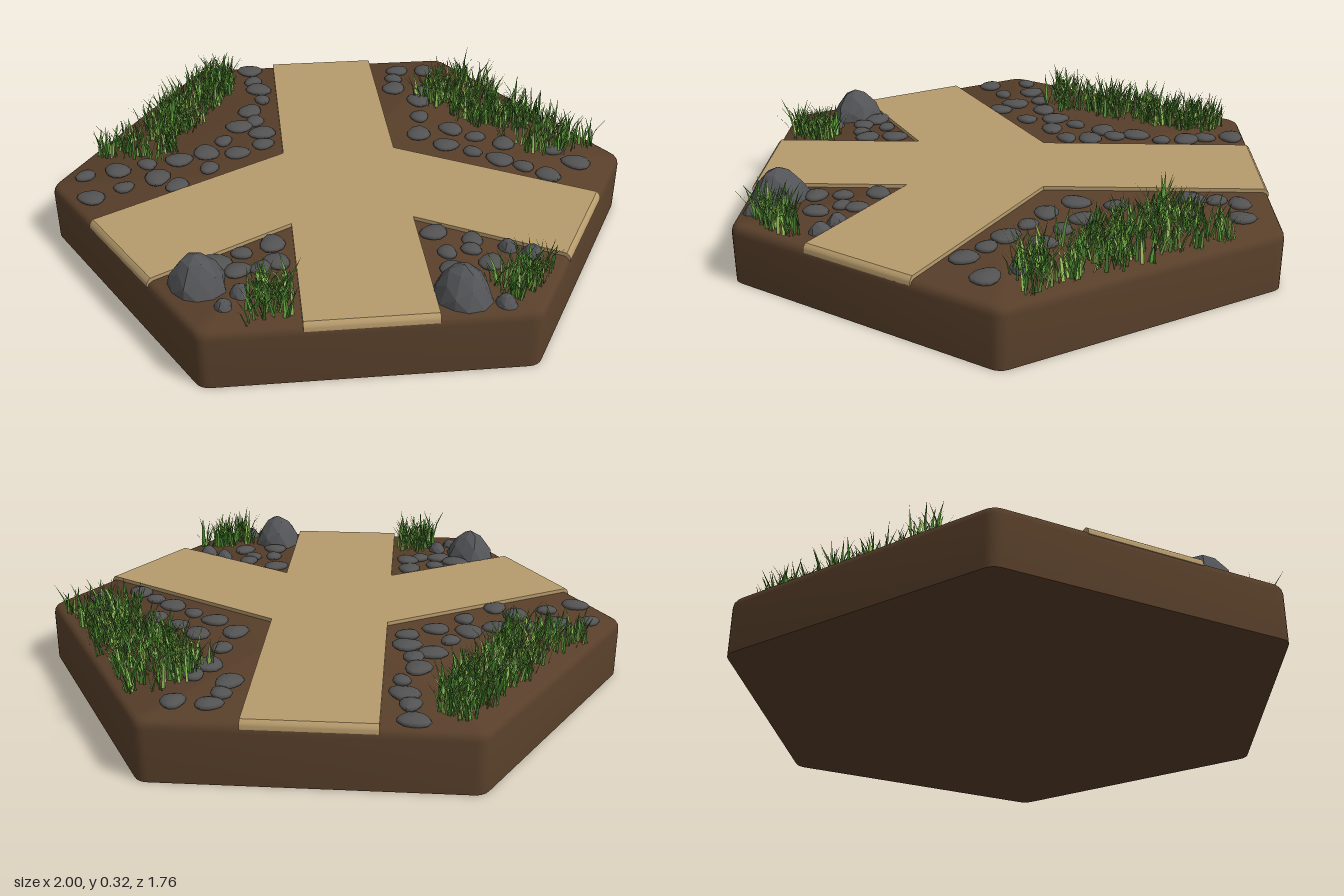
import * as THREE from 'three';
import { mergeGeometries, toCreasedNormals } from 'three/addons/utils/BufferGeometryUtils.js';

const mat = (name, color, side = THREE.FrontSide) => {
  const m = new THREE.MeshStandardMaterial({ color, side });
  m.name = name;
  return m;
};
const soil = mat('soil brown', 0x583f2a);
const sand = mat('sand path', 0xb79b6c);
const pebbleGrey = mat('pebble grey', 0x535354);
const rockGrey = mat('rock grey', 0x535457);
rockGrey.flatShading = true;
const greens = [
  mat('dark grass', 0x437a2c, THREE.DoubleSide),
  mat('mid grass', 0x62a03e, THREE.DoubleSide),
  mat('light grass', 0x94bd58, THREE.DoubleSide),
];

let seed = 7;
const rnd = () => (seed = (seed * 16807) % 2147483647) / 2147483647;
const range = (a, b) => a + (b - a) * rnd();
const RAD = Math.PI / 180;
const TOP = 0.2;
const APOTHEM = 0.8725;

function mesh(name, geometry, material) {
  const m = new THREE.Mesh(geometry, material);
  m.name = name;
  return m;
}

// Hexagonal slab: rounded-corner rings lofted upwards, with a soft top edge
function makeBase() {
  const R = 1.0075, cut = 0.03, ring = [];
  const corner = i => new THREE.Vector2(R * Math.cos(i * 60 * RAD), R * Math.sin(i * 60 * RAD));
  for (let i = 0; i < 6; i++) {
    const c = corner(i);
    const a = c.clone().lerp(corner(i + 5), cut), b = c.clone().lerp(corner(i + 1), cut);
    ring.push(...new THREE.QuadraticBezierCurve(a, c, b).getPoints(4));
  }
  const levels = [[0, 1], [0.17, 1], [0.184, 0.997], [0.194, 0.99], [TOP, 0.978]];
  const at = (l, i) => {
    const p = ring[i % ring.length], [y, s] = levels[l];
    return [p.x * s, y, p.y * s];
  };
  const pos = [], last = levels.length - 1;
  for (let i = 0; i < ring.length; i++) {
    for (let l = 0; l < last; l++) {
      const a = at(l, i), b = at(l, i + 1), A = at(l + 1, i), B = at(l + 1, i + 1);
      pos.push(...a, ...A, ...b, ...b, ...A, ...B);
    }
    pos.push(0, TOP, 0, ...at(last, i + 1), ...at(last, i));
    pos.push(0, 0, 0, ...at(0, i), ...at(0, i + 1));
  }
  const g = new THREE.BufferGeometry();
  g.setAttribute('position', new THREE.Float32BufferAttribute(pos, 3));
  return mesh('hexBase', toCreasedNormals(g, 0.6), soil);
}

// Four path arms joined in one outline, ends wrapping over the slab edge
function makePath() {
  const arms = [30, 90, 210, 330], half = 0.2, end = APOTHEM, pts = [];
  arms.forEach((deg, i) => {
    const c = Math.cos(deg * RAD), s = Math.sin(deg * RAD);
    for (const k of [-half, half]) pts.push(new THREE.Vector2(c * end - s * k, -(s * end + c * k)));
    const gap = (arms[(i + 1) % 4] - deg + 360) % 360;
    const mid = (deg + gap / 2) * RAD, r = half / Math.sin(gap / 2 * RAD);
    pts.push(new THREE.Vector2(r * Math.cos(mid), -r * Math.sin(mid)));
  });
  const g = new THREE.ExtrudeGeometry(new THREE.Shape(pts), { depth: 0.028, steps: 5, bevelEnabled: false });
  g.rotateX(-Math.PI / 2).translate(0, 0.185, 0);
  // round the outer ends over by pulling them inwards towards the top
  const p = g.attributes.position;
  for (let i = 0; i < p.count; i++) {
    const pull = 0.014 * ((p.getY(i) - 0.185) / 0.028) ** 3;
    for (const deg of arms) {
      const c = Math.cos(deg * RAD), s = Math.sin(deg * RAD);
      if (p.getX(i) * c + p.getZ(i) * s > 0.865) {
        p.setX(i, p.getX(i) - c * pull);
        p.setZ(i, p.getZ(i) - s * pull);
      }
    }
  }
  return mesh('sandPath', toCreasedNormals(g, 0.5), sand);
}

// Rows of flat pebbles beside the path: start x, z, end x, z, count
const pebbleRows = [
  [-.51, -.64, -.39, -.54, 3], [-.25, -.54, -.04, -.38, 3], [.09, -.41, .46, -.56, 5], [-.44, -.73, -.3, -.62, 2],
  [0, -.5, .2, -.58, 3], [.45, -.69, .35, -.69, 2],
  [-.85, -.15, -.61, -.05, 4], [-.55, .03, -.31, .13, 4], [-.31, .25, -.24, .52, 3], [-.33, .55, -.34, .8, 3],
  [-.47, .13, -.37, .33, 3], [-.39, .43, -.48, .76, 4],
  [.5, 0, .6, -.08, 2], [.73, -.04, .65, -.03, 2], [.69, .07, .61, .04, 2],
  [.25, .45, .24, .66, 3], [.35, .5, .32, .62, 3],
];
function makePebble(x, z, r) {
  const g = new THREE.SphereGeometry(1, 12, 6);
  const p = g.attributes.position, k = range(0, 6), spin = range(0, 6);
  for (let i = 0; i < p.count; i++) {
    const w = 1 + 0.06 * Math.sin(3 * Math.atan2(p.getZ(i), p.getX(i)) + k);
    p.setXYZ(i, p.getX(i) * w, p.getY(i), p.getZ(i) * w);
  }
  g.scale(r * 1.08, 0.014, r * 0.9).rotateY(spin);
  g.computeVertexNormals();
  return g.translate(x, 0.207, z);
}
function makePebbleRow([x0, z0, x1, z1, count]) {
  return Array.from({ length: count }, (_, i) => {
    const t = i / (count - 1), r = (i % 2 ? 0.036 : 0.047) * range(0.9, 1.1);
    return makePebble(x0 + (x1 - x0) * t + range(-.008, .008), z0 + (z1 - z0) * t + range(-.008, .008), r);
  });
}

// Faceted rocks: x, z, radius, height above the soil
const rocks = [
  [.8, .135, .094, .108], [.29, .75, .092, .108],
  [.7, -.14, .032, .035], [.77, -.18, .036, .036], [.91, .06, .034, .035],
  [.41, .67, .034, .036], [.435, .745, .028, .03],
];
function makeRock([x, z, r, h]) {
  const g = new THREE.IcosahedronGeometry(1, 1), p = g.attributes.position, k = range(0, 6);
  for (let i = 0; i < p.count; i++) {
    const [a, b, c] = [p.getX(i), p.getY(i), p.getZ(i)];
    const w = 1 + 0.09 * Math.sin(4 * a + k) * Math.cos(5 * c - k);
    const taper = 1.08 - 0.35 * Math.max(b, 0);
    p.setXYZ(i, a * w * r * taper, Math.max(b * h, -0.02), c * w * r * 0.92 * taper);
  }
  return g.translate(x, TOP, z);
}

// One curved, tapering grass blade
function makeBlade(x, z) {
  const h = range(0.06, 0.12), w = range(0.003, 0.006), lean = h * range(0.2, 0.65);
  const pos = [-w, 0, 0, w, 0, 0, -w * 0.8, h * 0.55, lean * 0.35, w * 0.8, h * 0.55, lean * 0.35, 0, h, lean];
  const g = new THREE.BufferGeometry();
  g.setAttribute('position', new THREE.Float32BufferAttribute(pos, 3));
  g.setIndex([0, 1, 2, 2, 1, 3, 2, 3, 4]);
  g.computeVertexNormals();
  return g.rotateY(range(0, 2 * Math.PI)).translate(x, TOP - 0.003, z);
}

// Grass beds: four corners in order, and number of tufts
const beds = [
  ['backGrass', [[-.36, -.83], [.4, -.83], [.34, -.64], [-.3, -.54]], 120],
  ['leftGrass', [[-.92, -.02], [-.8, -.06], [-.4, .48], [-.57, .68]], 120],
  ['rightGrass', [[.83, -.16], [.88, -.16], [.95, .02], [.8, .04]], 24],
  ['frontGrass', [[.42, .52], [.59, .59], [.54, .72], [.46, .68]], 26],
];
function makeGrass([name, [a, b, c, d], tufts]) {
  const group = new THREE.Group(), byColour = [[], [], []];
  group.name = name;
  for (let t = 0; t < tufts; t++) {
    const u = rnd(), v = rnd();
    const [x, z] = [0, 1].map(k => (a[k] * (1 - u) + b[k] * u) * (1 - v) + (d[k] * (1 - u) + c[k] * u) * v);
    for (let i = 0; i < 6; i++) {
      byColour[Math.floor(rnd() * 3)].push(makeBlade(x + range(-.022, .022), z + range(-.022, .022)));
    }
  }
  byColour.forEach((list, i) => group.add(mesh(greens[i].name + ' blades', mergeGeometries(list), greens[i])));
  return group;
}

export function createModel() {
  const model = new THREE.Group();
  model.name = 'hexPathTile';
  model.add(makeBase(), makePath());
  model.add(mesh('pebbles', mergeGeometries(pebbleRows.flatMap(makePebbleRow)), pebbleGrey));
  model.add(mesh('rocks', mergeGeometries(rocks.map(makeRock)), rockGrey));
  beds.forEach(bed => model.add(makeGrass(bed)));
  return model;
}
